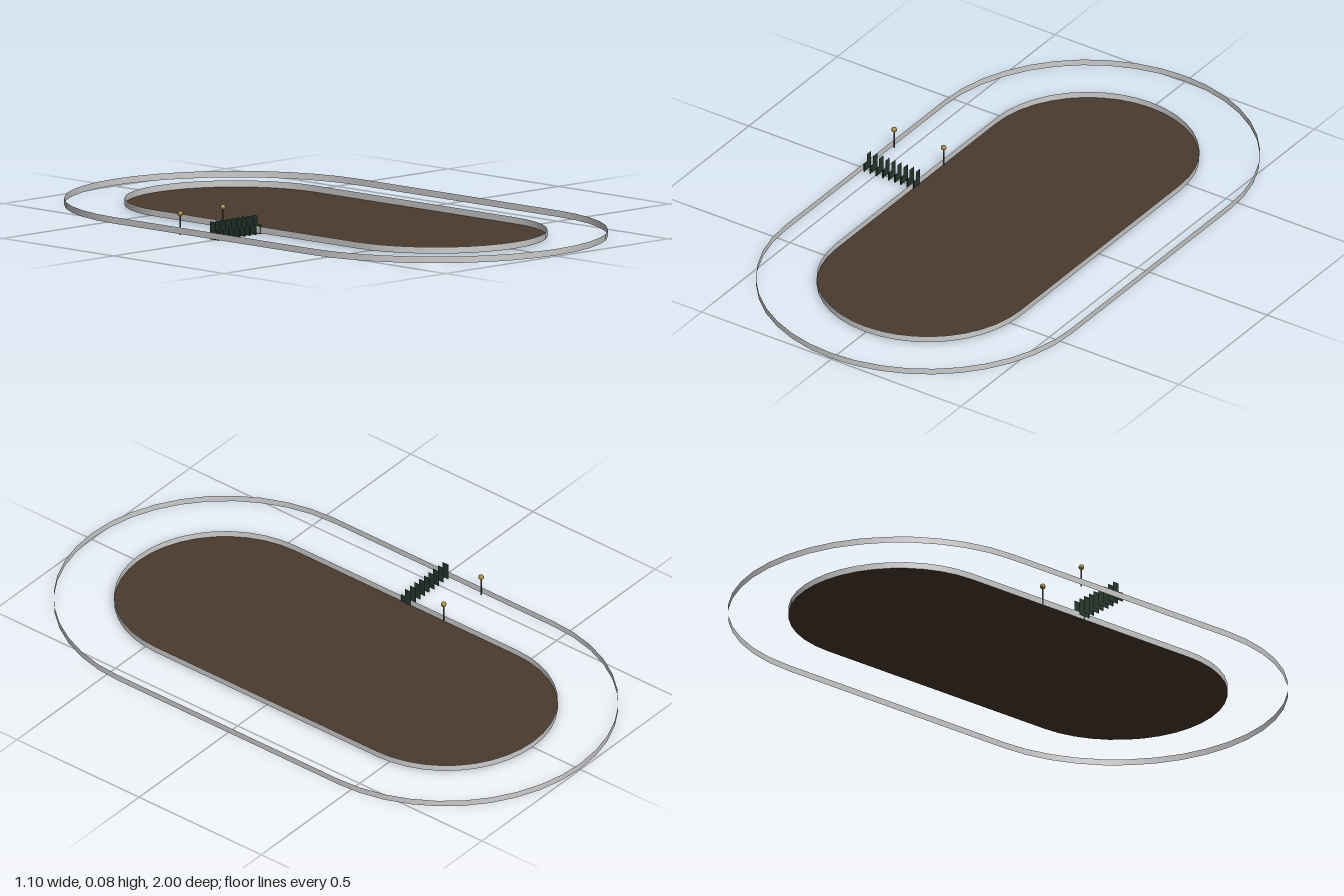
import * as THREE from 'three';

const material = (color) => new THREE.MeshStandardMaterial({ color, side: THREE.DoubleSide });
const ARC_SEGMENTS = 20;
const GROUND = 0.003, RAIL_TOP = 0.024;

// Outline of two half circles joined by straights, as [x, z] pairs
function stadium(radius, halfStraight) {
  const points = [];
  for (const end of [1, -1]) {
    for (let i = 0; i <= ARC_SEGMENTS; i++) {
      const a = (i / ARC_SEGMENTS) * Math.PI;
      points.push([end * radius * Math.cos(a), end * (halfStraight + radius * Math.sin(a))]);
    }
  }
  return points;
}

// Thin upright band following a closed outline
function railGeometry(outline) {
  const positions = [], indices = [], n = outline.length;
  outline.forEach(([x, z], i) => {
    positions.push(x, GROUND, z, x, RAIL_TOP, z);
    const a = 2 * i, b = 2 * ((i + 1) % n);
    indices.push(a, a + 1, b, b, a + 1, b + 1);
  });
  const geometry = new THREE.BufferGeometry();
  geometry.setAttribute('position', new THREE.Float32BufferAttribute(positions, 3));
  geometry.setIndex(indices);
  geometry.computeVertexNormals();
  return geometry;
}

export function createModel() {
  const model = new THREE.Group();
  model.name = 'racetrack';
  const add = (name, geometry, mat, parent = model) => {
    const mesh = new THREE.Mesh(geometry, mat);
    mesh.name = name;
    parent.add(mesh);
    return mesh;
  };
  const grey = material(0xcccccc);
  const dirt = material(0x4a3a2d);
  const green = material(0x24362c);
  const gold = material(0x9b7f3c);
  const dark = material(0x4a4a48);

  // Infield and the two rails
  const inner = stadium(0.355, 0.453);
  const shape = new THREE.Shape(inner.map(([x, z]) => new THREE.Vector2(x, -z)));
  const infield = add('infield', new THREE.ShapeGeometry(shape).rotateX(-Math.PI / 2), dirt);
  infield.position.y = GROUND;
  add('innerRail', railGeometry(inner), grey);
  add('outerRail', railGeometry(stadium(0.55, 0.45)), grey);

  // Starting gate: a row of stepped stall dividers, each with a narrow front edge
  const gate = new THREE.Group();
  gate.name = 'startingGate';
  model.add(gate);
  const profile = [[-0.017, 0], [0.022, 0], [0.022, 0.058], [-0.002, 0.058], [-0.002, 0.03], [-0.017, 0.03]];
  const panel = new THREE.ShapeGeometry(
    new THREE.Shape(profile.map(([x, y]) => new THREE.Vector2(x, y)))
  ).rotateY(Math.PI / 2);
  const edge = new THREE.PlaneGeometry(0.006, 0.03).translate(0, 0.015, 0.017);
  for (let i = 0; i < 9; i++) {
    const x = -0.543 + i * 0.0236;
    add('stallDivider', panel, green, gate).position.x = x;
    add('stallFront', edge, green, gate).position.x = x;
  }

  // Finish posts topped with balls
  for (const x of [-0.545, -0.354]) {
    const post = new THREE.Group();
    post.name = 'finishPost';
    post.position.set(x, 0, -0.155);
    model.add(post);
    add('pole', new THREE.CylinderGeometry(0.0025, 0.0025, 0.064, 8, 1, true).translate(0, 0.032, 0), dark, post);
    add('ball', new THREE.SphereGeometry(0.009, 16, 12).translate(0, 0.068, 0), gold, post);
  }
  return model;
}
